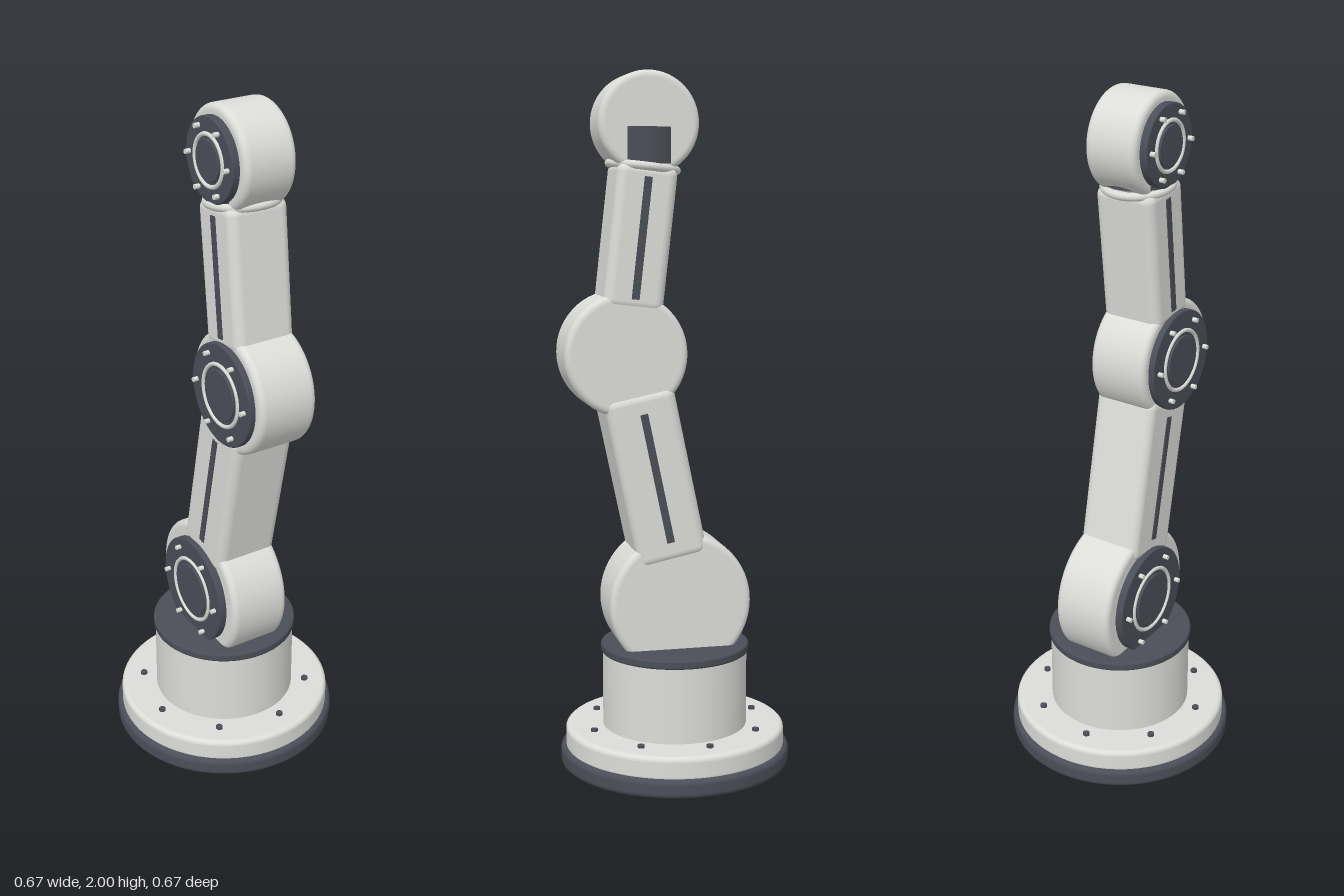
import * as THREE from 'three';
import { RoundedBoxGeometry } from 'three/addons/geometries/RoundedBoxGeometry.js';

const shell = new THREE.MeshStandardMaterial({ color: 0xdcddd9 });
shell.name = 'light grey shell';
const dark = new THREE.MeshStandardMaterial({ color: 0x4b4e58 });
dark.name = 'dark grey trim';

function add(parent, name, geometry, material, x = 0, y = 0, z = 0) {
  const mesh = new THREE.Mesh(geometry, material);
  mesh.name = name;
  mesh.position.set(x, y, z);
  parent.add(mesh);
  return mesh;
}

// Disc standing on y = 0 with rounded rims
function roundedDisc(radius, height, bevel) {
  const pts = [new THREE.Vector2(0, 0), new THREE.Vector2(radius - bevel - 0.002, 0)];
  for (const top of [0, 1]) {
    for (let i = 0; i <= 6; i++) {
      const a = ((top + i / 6) - 1) * Math.PI / 2;
      pts.push(new THREE.Vector2(
        radius - bevel + Math.cos(a) * bevel,
        (top ? height - bevel : bevel) + Math.sin(a) * bevel));
    }
    if (!top) pts.push(new THREE.Vector2(radius, bevel + 0.001), new THREE.Vector2(radius, height - bevel - 0.001));
  }
  pts.push(new THREE.Vector2(radius - bevel - 0.002, height), new THREE.Vector2(0, height));
  return new THREE.LatheGeometry(pts, 64);
}

// Joint drum with a bolted cover on its right side
function makeJoint(name, radius, halfWidth, capRadius, capDepth) {
  const joint = new THREE.Group();
  joint.name = name;
  joint.rotation.z = Math.PI / 2; // local +y now points to the right side
  add(joint, 'drum', roundedDisc(radius, halfWidth * 2, 0.018), shell, 0, -halfWidth);
  add(joint, 'cover', roundedDisc(capRadius, capDepth + 0.01, 0.004), dark, 0, halfWidth - 0.01);
  const face = halfWidth + capDepth;
  const ring = add(joint, 'coverRing', new THREE.TorusGeometry(capRadius * 0.6, 0.006, 8, 48), shell, 0, face);
  ring.rotation.x = Math.PI / 2;
  add(joint, 'coverHub', roundedDisc(capRadius * 0.5, 0.008, 0.003), dark, 0, face - 0.002);
  for (let i = 0; i < 6; i++) {
    const a = i * Math.PI / 3;
    add(joint, 'coverBolt', new THREE.CylinderGeometry(0.007, 0.007, 0.02, 12), shell,
      Math.sin(a) * capRadius * 0.82, face + 0.005, Math.cos(a) * capRadius * 0.82);
  }
  return joint;
}

// Straight arm section with a dark slot on each side
function makeLink(name, width, length, depth, slotLength) {
  const link = new THREE.Group();
  link.name = name;
  add(link, 'linkBody', new RoundedBoxGeometry(width, length, depth, 5, 0.028), shell);
  for (const side of [-1, 1]) {
    add(link, 'sideSlot', new THREE.BoxGeometry(0.006, slotLength, 0.022), dark, side * width / 2, 0, 0);
  }
  return link;
}

export function createModel() {
  const model = new THREE.Group();
  model.name = 'robotArm';

  // Round base and turntable
  const base = new THREE.Group();
  base.name = 'base';
  model.add(base);
  add(base, 'footRing', roundedDisc(0.337, 0.054, 0.014), dark);
  add(base, 'basePlate', roundedDisc(0.322, 0.072, 0.014), shell, 0, 0.043);
  for (let i = 0; i < 8; i++) {
    const a = i * Math.PI / 4;
    add(base, 'baseBolt', new THREE.CylinderGeometry(0.01, 0.01, 0.014, 16), dark,
      Math.sin(a) * 0.254, 0.116, Math.cos(a) * 0.254);
  }
  add(base, 'pedestal', new THREE.CylinderGeometry(0.212, 0.212, 0.235, 64), shell, 0, 0.225);
  add(base, 'turntable', roundedDisc(0.217, 0.026, 0.006), dark, 0, 0.334);

  // Arm, turned on the base
  const arm = new THREE.Group();
  arm.name = 'arm';
  arm.rotation.y = THREE.MathUtils.degToRad(35);
  model.add(arm);

  const shoulder = makeJoint('shoulderJoint', 0.208, 0.092, 0.162, 0.022);
  shoulder.position.set(0, 0.49, 0);
  const elbow = makeJoint('elbowJoint', 0.176, 0.09, 0.148, 0.018);
  elbow.position.set(0, 1.214, 0.156);
  const wrist = makeJoint('wristJoint', 0.143, 0.079, 0.115, 0.022);
  wrist.position.set(0, 1.857, 0.088);

  const lowerLink = makeLink('lowerLink', 0.194, 0.5, 0.206, 0.38);
  lowerLink.position.set(0, 0.862, 0.072);
  lowerLink.rotation.x = THREE.MathUtils.degToRad(11.8);
  const upperLink = makeLink('upperLink', 0.185, 0.41, 0.172, 0.34);
  upperLink.position.set(0, 1.54, 0.114);
  upperLink.rotation.x = THREE.MathUtils.degToRad(-6.5);
  arm.add(shoulder, elbow, wrist, lowerLink, upperLink);

  // Swivel core and collar beneath the wrist
  add(arm, 'wristCore', new THREE.CylinderGeometry(0.1, 0.1, 0.1, 48), dark, 0, 1.795, 0.09);
  const collar = add(arm, 'wristCollar', new THREE.TorusGeometry(0.096, 0.012, 10, 48), shell, 0, 1.737, 0.092);
  collar.rotation.x = Math.PI / 2 - THREE.MathUtils.degToRad(6.5);

  return model;
}
